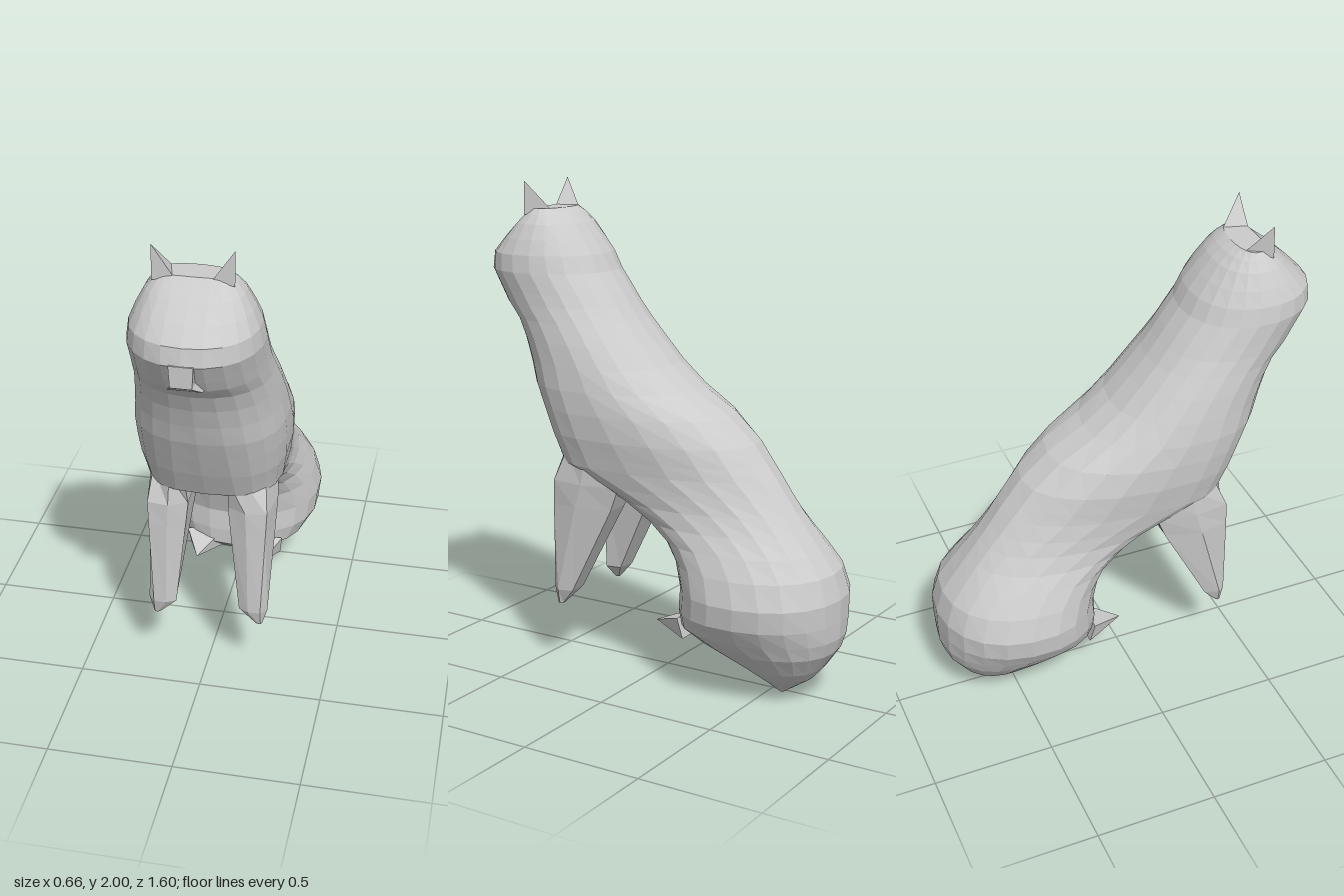
import * as THREE from 'three';

const material = new THREE.MeshStandardMaterial({ color: 0xcccccc, flatShading: true, side: THREE.DoubleSide });

// Skin a list of closed rings (top to bottom, each running front -> +x) and close both ends
function loft(name, rings) {
  const pos = [], n = rings[0].length;
  const tri = (a, b, c) => pos.push(...a, ...b, ...c);
  const middle = r => [0, 1, 2].map(k => r.reduce((s, p) => s + p[k], 0) / n);
  const top = middle(rings[0]), last = rings[rings.length - 1], bottom = middle(last);
  for (let j = 0; j < n; j++) {
    const k = (j + 1) % n;
    tri(top, rings[0][j], rings[0][k]);
    for (let i = 0; i < rings.length - 1; i++) {
      tri(rings[i][j], rings[i + 1][j], rings[i + 1][k]);
      tri(rings[i][j], rings[i + 1][k], rings[i][k]);
    }
    tri(bottom, last[k], last[j]);
  }
  const g = new THREE.BufferGeometry();
  g.setAttribute('position', new THREE.Float32BufferAttribute(pos, 3));
  g.computeVertexNormals();
  const mesh = new THREE.Mesh(g, material);
  mesh.name = name;
  return mesh;
}

// Horizontal body slice: a rounded oval, widest near its front so long slices taper to the rear
function slice([y, front, back, half, frontPower], sides = 22) {
  const c = Math.max((front + back) / 2, front - 0.3);
  return Array.from({ length: sides }, (_, j) => {
    const a = j / sides * Math.PI * 2;
    const isFront = Math.cos(a) > 0;
    const power = isFront ? frontPower : 2.2;
    const curve = v => Math.sign(v) * Math.abs(v) ** (2 / power);
    const depth = isFront ? front - c : c - back;
    return [0.012 + half * curve(Math.sin(a)), y, c + depth * curve(Math.cos(a))];
  });
}

// y, front z, back z, half width, squareness of the front
const headAndBack = [
  [1.89, 0.59, 0.48, 0.13, 3.5],
  [1.865, 0.62, 0.44, 0.155, 3],
  [1.83, 0.665, 0.40, 0.183, 2.6],
  [1.77, 0.73, 0.35, 0.215, 2.3],
  [1.71, 0.787, 0.305, 0.24, 2.2],
  [1.64, 0.80, 0.27, 0.252, 2.1],
  [1.56, 0.755, 0.21, 0.254, 2.1],
  [1.51, 0.725, 0.175, 0.257, 2.1],
  [1.45, 0.665, 0.13, 0.264, 2.2],
  [1.37, 0.625, 0.06, 0.277, 2.2],
  [1.28, 0.59, -0.025, 0.288, 2.3],
  [1.19, 0.56, -0.14, 0.297, 2.4],
  [1.10, 0.52, -0.295, 0.298, 2.5],
  [1.00, 0.475, -0.41, 0.292, 2.7],
  [0.93, 0.44, -0.465, 0.28, 2.9],
  [0.88, 0.415, -0.505, 0.272, 3.1],
];
const bellyAndHaunch = [
  [0.81, 0.28, -0.555, 0.258, 2.8],
  [0.75, 0.16, -0.60, 0.25, 2.5],
  [0.68, 0.05, -0.655, 0.257, 2.2],
  [0.61, -0.05, -0.71, 0.28, 2.2],
  [0.53, -0.11, -0.77, 0.31, 2.2],
  [0.43, -0.14, -0.80, 0.335, 2.2],
  [0.34, -0.13, -0.80, 0.325, 2.2],
  [0.27, -0.13, -0.798, 0.285, 2.3],
  [0.21, -0.20, -0.78, 0.24, 2.2],
  [0.13, -0.36, -0.725, 0.17, 2],
  [0.08, -0.44, -0.68, 0.115, 2],
  [0.04, -0.49, -0.62, 0.06, 2],
  [0.00, -0.54, -0.56, 0.01, 2],
];

export function createModel() {
  const group = new THREE.Group();
  group.add(loft('body', [...headAndBack, ...bellyAndHaunch].map(s => slice(s))));

  // Nose wedge between the cheeks
  const block = (y, w, front, back) => [[0.012 - w, y, front], [0.012 + w, y, front], [0.012 + w, y, back], [0.012 - w, y, back]];
  group.add(loft('nose', [block(1.645, 0.045, 0.802, 0.7), block(1.56, 0.04, 0.802, 0.68), block(1.515, 0.065, 0.735, 0.66)]));

  for (const side of [-1, 1]) {
    const label = side > 0 ? 'left' : 'right';
    const place = (name, rings) => {
      const mirrored = rings.map(r => {
        const m = r.map(([x, y, z]) => [0.012 + x * side, y, z]);
        return side > 0 ? m : m.reverse();
      });
      group.add(loft(label + name, mirrored));
    };

    // Tapering front leg with its shoulder end inside the chest
    const foreleg = (y, pts) => pts.map(([x, z]) => [x, y, z]);
    place('FrontLeg', [
      foreleg(0.93, [[0.09, 0.40], [0.15, 0.39], [0.225, 0.34], [0.255, 0.22], [0.23, 0.08], [0.1, 0.1]]),
      foreleg(0.80, [[0.08, 0.37], [0.155, 0.405], [0.24, 0.395], [0.26, 0.25], [0.225, 0.09], [0.09, 0.10]]),
      foreleg(0.70, [[0.09, 0.375], [0.16, 0.406], [0.236, 0.40], [0.258, 0.28], [0.22, 0.13], [0.10, 0.14]]),
      foreleg(0.33, [[0.13, 0.39], [0.17, 0.412], [0.22, 0.41], [0.245, 0.38], [0.225, 0.32], [0.14, 0.325]]),
      foreleg(0.265, [[0.20, 0.39], [0.21, 0.395], [0.22, 0.395], [0.225, 0.385], [0.215, 0.375], [0.2, 0.375]]),
    ]);

    // Pointed ear
    const tip = [0.15, 2.0, 0.585];
    place('Ear', [[tip, tip, tip], [[0.07, 1.885, 0.59], [0.15, 1.865, 0.59], [0.09, 1.87, 0.48]]]);

    // Hind foot poking out under the haunch
    const toe = [0.14, 0.25, -0.04];
    place('HindFoot', [
      [toe, toe, toe, toe],
      [[0.06, 0.215, -0.2], [0.2, 0.215, -0.2], [0.21, 0.3, -0.18], [0.06, 0.3, -0.18]],
    ]);
  }
  return group;
}
